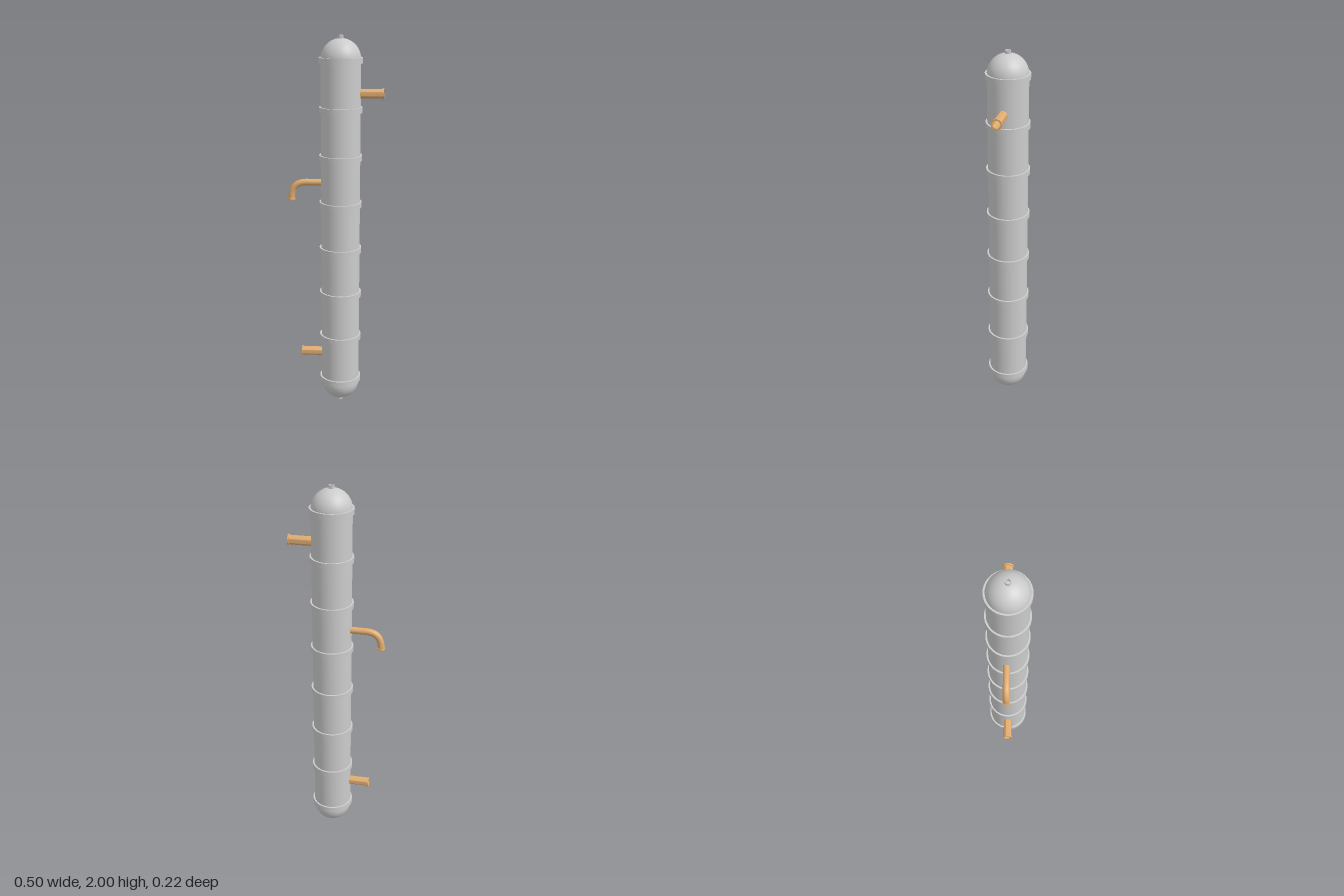
import * as THREE from 'three';
import { toCreasedNormals } from 'three/addons/utils/BufferGeometryUtils.js';

const AXIS_X = 0.03, RADIUS = 0.102;
const grey = new THREE.MeshStandardMaterial({ color: 0xcccccc });
const copper = new THREE.MeshStandardMaterial({ color: 0xe0ac70, side: THREE.DoubleSide });

function add(parent, name, geometry, material, x = 0, y = 0, z = 0) {
  const mesh = new THREE.Mesh(geometry, material);
  mesh.name = name;
  mesh.position.set(x, y, z);
  parent.add(mesh);
  return mesh;
}

const lathe = (pairs, segments = 32) => toCreasedNormals(
  new THREE.LatheGeometry(pairs.map(([r, y]) => new THREE.Vector2(r, y)), segments), 0.6);

// Hollow straight pipe along +y with a lip at its open end
const flangedPipe = (r, lip, bore, length, lipHeight) => lathe([
  [r, 0], [r, length - lipHeight], [lip, length - lipHeight],
  [lip, length], [bore, length], [bore, 0],
]);

export function createModel() {
  const model = new THREE.Group();
  model.name = 'column';

  // Shell: straight cylinder with a hemisphere at each end
  const profile = [];
  const low = 0.018 + RADIUS, high = 1.985 - RADIUS;
  for (let i = 0; i <= 16; i++) {
    const a = (i / 16) * Math.PI / 2;
    profile.push(new THREE.Vector2(RADIUS * Math.sin(a), low - RADIUS * Math.cos(a)));
  }
  for (let i = 0; i <= 16; i++) {
    const a = (i / 16) * Math.PI / 2;
    profile.push(new THREE.Vector2(RADIUS * Math.cos(a), high + RADIUS * Math.sin(a)));
  }
  add(model, 'shell', new THREE.LatheGeometry(profile, 64), grey, AXIS_X);

  // Eight evenly spaced bands
  for (let i = 0; i < 8; i++) {
    add(model, 'band', new THREE.CylinderGeometry(0.111, 0.111, 0.029, 64), grey,
      AXIS_X, 0.138 + i * 0.2483);
  }

  // Small hollow outlets at the two poles
  const outlet = lathe([[0.014, 0], [0.014, 0.03], [0.0105, 0.03], [0.0105, 0]], 24);
  add(model, 'topOutlet', outlet, grey, AXIS_X, 1.97);
  add(model, 'bottomOutlet', outlet, grey, AXIS_X, 0.03).rotation.x = Math.PI;

  // Straight side nozzles
  const upper = add(model, 'upperNozzle', flangedPipe(0.0235, 0.028, 0.02, 0.13, 0.008), copper,
    0.12, 1.71, -0.001);
  upper.rotation.z = -Math.PI / 2;
  const lower = add(model, 'lowerNozzle', flangedPipe(0.0235, 0.028, 0.02, 0.12, 0.008), copper,
    -0.06, 0.287, -0.001);
  lower.rotation.z = Math.PI / 2;

  // Bent spout: straight run, then a quarter bend pointing down
  const spout = new THREE.Group();
  spout.name = 'spout';
  spout.position.z = -0.007;
  model.add(spout);
  const path = new THREE.CurvePath();
  const v = (x, y) => new THREE.Vector3(x, y, 0);
  path.add(new THREE.LineCurve3(v(-0.05, 1.244), v(-0.145, 1.244)));
  path.add(new THREE.CubicBezierCurve3(
    v(-0.145, 1.244), v(-0.2, 1.244), v(-0.23, 1.222), v(-0.23, 1.155)));
  add(spout, 'spoutPipe', new THREE.TubeGeometry(path, 48, 0.0175, 24), copper);
  add(spout, 'spoutBore', new THREE.TubeGeometry(path, 48, 0.0145, 24), copper);
  add(spout, 'spoutLip', lathe([
    [0.0145, 0], [0.021, 0], [0.021, 0.008], [0.0145, 0.008], [0.0145, 0],
  ]), copper, -0.23, 1.149);

  return model;
}
